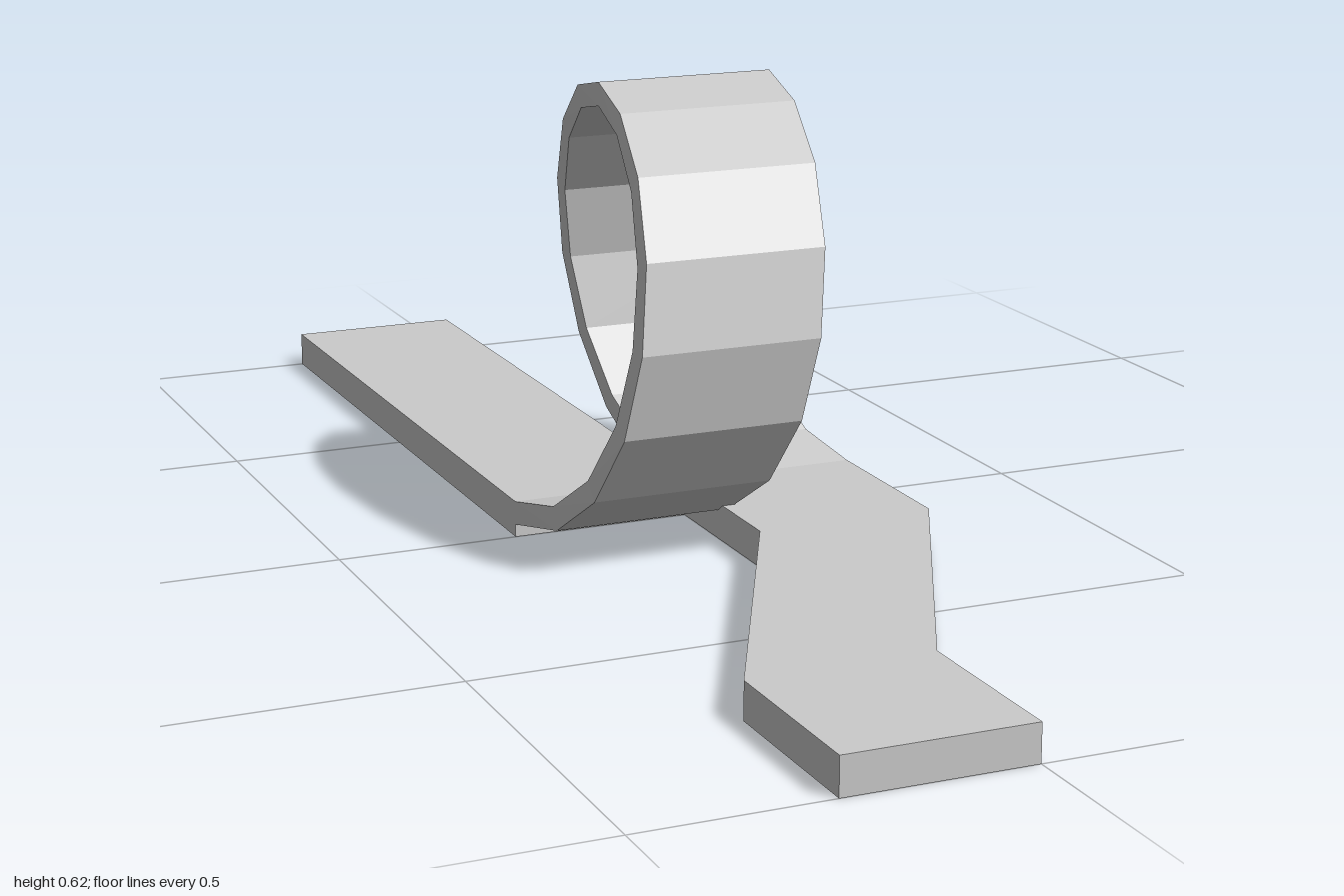
import * as THREE from 'three';

const HALF_WIDTH = 0.125;
const THICKNESS = 0.05;

// Flat-shaded ribbon swept through sections { x, top: [y, z], bottom: [y, z] }
function ribbon(name, sections, material) {
  const rings = sections.map(({ x, top, bottom }) => [
    [x + HALF_WIDTH, ...bottom],
    [x + HALF_WIDTH, ...top],
    [x - HALF_WIDTH, ...top],
    [x - HALF_WIDTH, ...bottom],
  ]);
  const positions = [];
  const quad = (a, b, c, d) => positions.push(...a, ...b, ...c, ...a, ...c, ...d);

  for (let i = 0; i < rings.length - 1; i++) {
    for (let k = 0; k < 4; k++) {
      const n = (k + 1) % 4;
      quad(rings[i][k], rings[i][n], rings[i + 1][n], rings[i + 1][k]);
    }
  }
  // End caps
  quad(...[...rings[0]].reverse());
  quad(...rings[rings.length - 1]);

  const geometry = new THREE.BufferGeometry();
  geometry.setAttribute('position', new THREE.Float32BufferAttribute(positions, 3));
  geometry.computeVertexNormals();
  const mesh = new THREE.Mesh(geometry, material);
  mesh.name = name;
  return mesh;
}

// Section of the track lying on the ground
const ground = (x, z) => ({ x, top: [THICKNESS, z], bottom: [0, z] });

export function createModel() {
  const group = new THREE.Group();
  group.name = 'loopTrack';
  const material = new THREE.MeshStandardMaterial({ color: 0xcccccc, flatShading: true });

  // Straight run into the loop
  group.add(ribbon('entryTrack', [ground(-0.125, -1), ground(-0.125, 0)], material));

  // One helical turn that shifts sideways by the track width
  const segments = 16, centreY = 0.3175, outer = 0.3, inner = 0.2675;
  const loop = [];
  for (let i = 0; i <= segments; i++) {
    const t = i / segments;
    const angle = t * Math.PI * 2;
    const at = (r) => [centreY - r * Math.cos(angle), r * Math.sin(angle)];
    loop.push({ x: -0.125 + 0.25 * t, top: at(inner), bottom: at(outer) });
  }
  group.add(ribbon('loop', loop, material));

  // Run out of the loop, bending back in line with the entry
  group.add(ribbon('exitTrack', [
    ground(0.125, 0), ground(0.125, 0.25), ground(-0.125, 0.75), ground(-0.125, 1),
  ], material));

  return group;
}
